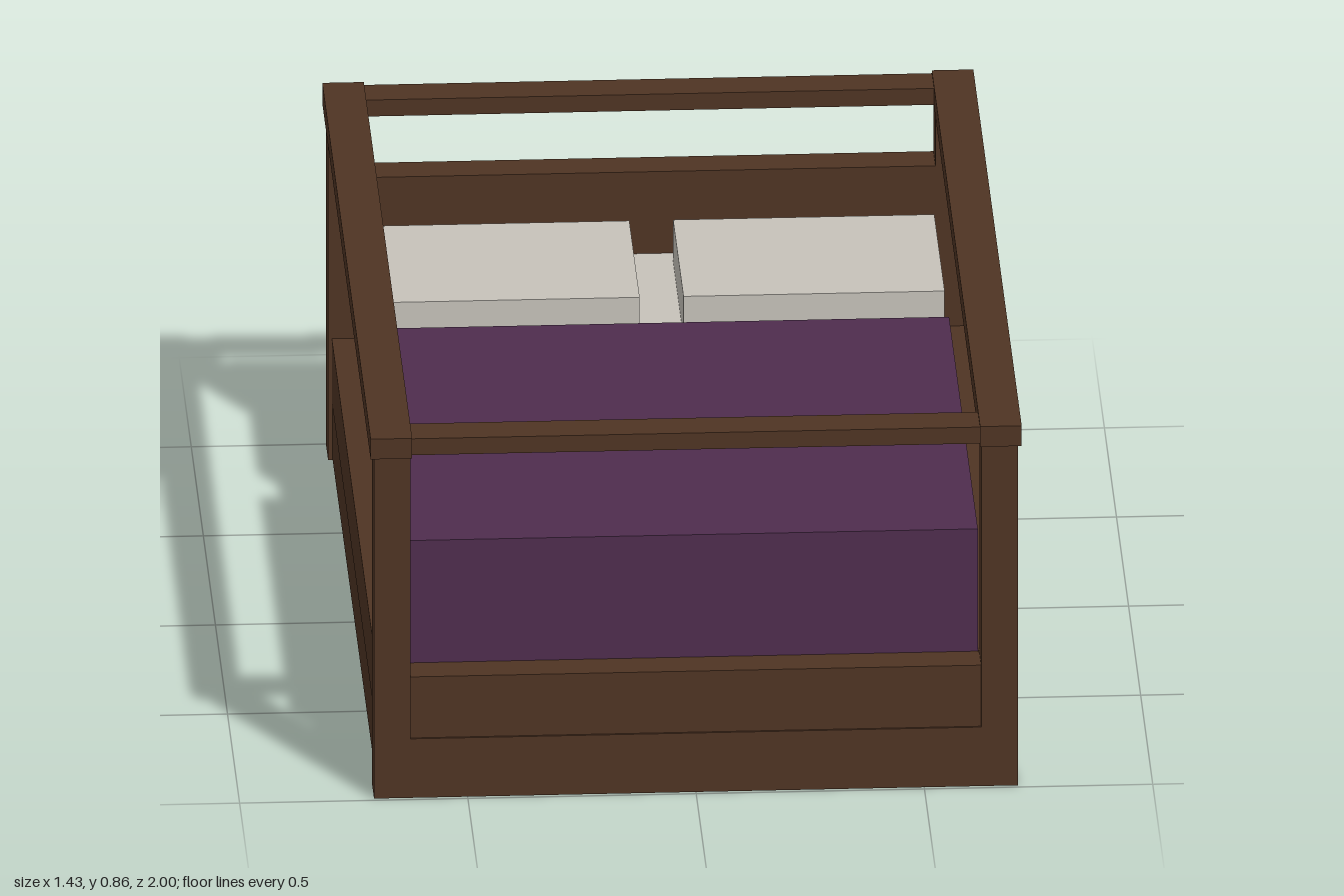
import * as THREE from 'three';

export function createModel() {
  const bed = new THREE.Group();
  bed.name = 'fourPosterBed';

  const material = (name, color) => {
    const m = new THREE.MeshStandardMaterial({ color });
    m.name = name;
    return m;
  };
  const wood = material('darkWood', 0x4f3423);
  const purple = material('purpleFabric', 0x4f2d4e);
  const linen = material('linen', 0xc6c2ba);

  // Box given by its [min, max] extents along each axis
  const box = (name, mat, [x0, x1], [y0, y1], [z0, z1]) => {
    const mesh = new THREE.Mesh(new THREE.BoxGeometry(x1 - x0, y1 - y0, z1 - z0), mat);
    mesh.position.set((x0 + x1) / 2, (y0 + y1) / 2, (z0 + z1) / 2);
    mesh.name = name;
    bed.add(mesh);
  };
  // Extents placed on the positive or negative side of an axis
  const side = (s, a, b) => (s > 0 ? [a, b] : [-b, -a]);

  // Base, with the foot end flush with the posts
  box('base', wood, [-0.695, 0.695], [0, 0.14], [-0.91, 0.91]);
  box('footBase', wood, [-0.625, 0.625], [0, 0.14], [0.91, 0.99]);
  box('footboard', wood, [-0.625, 0.625], [0.14, 0.285], [0.906, 0.985]);
  box('headboard', wood, [-0.625, 0.625], [0, 0.67], [-0.99, -0.908]);

  for (const s of [-1, 1]) {
    const end = s > 0 ? 'Left' : 'Right';
    // Corner posts
    for (const t of [-1, 1]) {
      box((t > 0 ? 'front' : 'back') + end + 'Post', wood,
        side(s, 0.625, 0.705), [0, 0.815], side(t, 0.91, 0.99));
    }
    // Side boards of the bed frame
    box('sideBoard' + end, wood, side(s, 0.622, 0.697), [0.14, 0.288], [-0.91, 0.91]);
    // Canopy rails along the sides
    box('canopySideRail' + end, wood, side(s, 0.622, 0.713), [0.81, 0.858], [-1, 1]);
    // Pillows
    box('pillow' + end, linen, side(s, 0.048, 0.62), [0.475, 0.575], [-0.86, -0.43]);
  }

  // Canopy rails across the ends
  for (const t of [-1, 1]) {
    box(t > 0 ? 'canopyFrontRail' : 'canopyBackRail', wood,
      [-0.622, 0.622], [0.815, 0.854], side(t, 0.908, 0.993));
  }

  // Bedding
  box('mattress', linen, [-0.62, 0.62], [0.14, 0.477], [-0.905, -0.285]);
  box('blanket', purple, [-0.622, 0.622], [0.14, 0.575], [-0.285, 0.905]);

  return bed;
}
